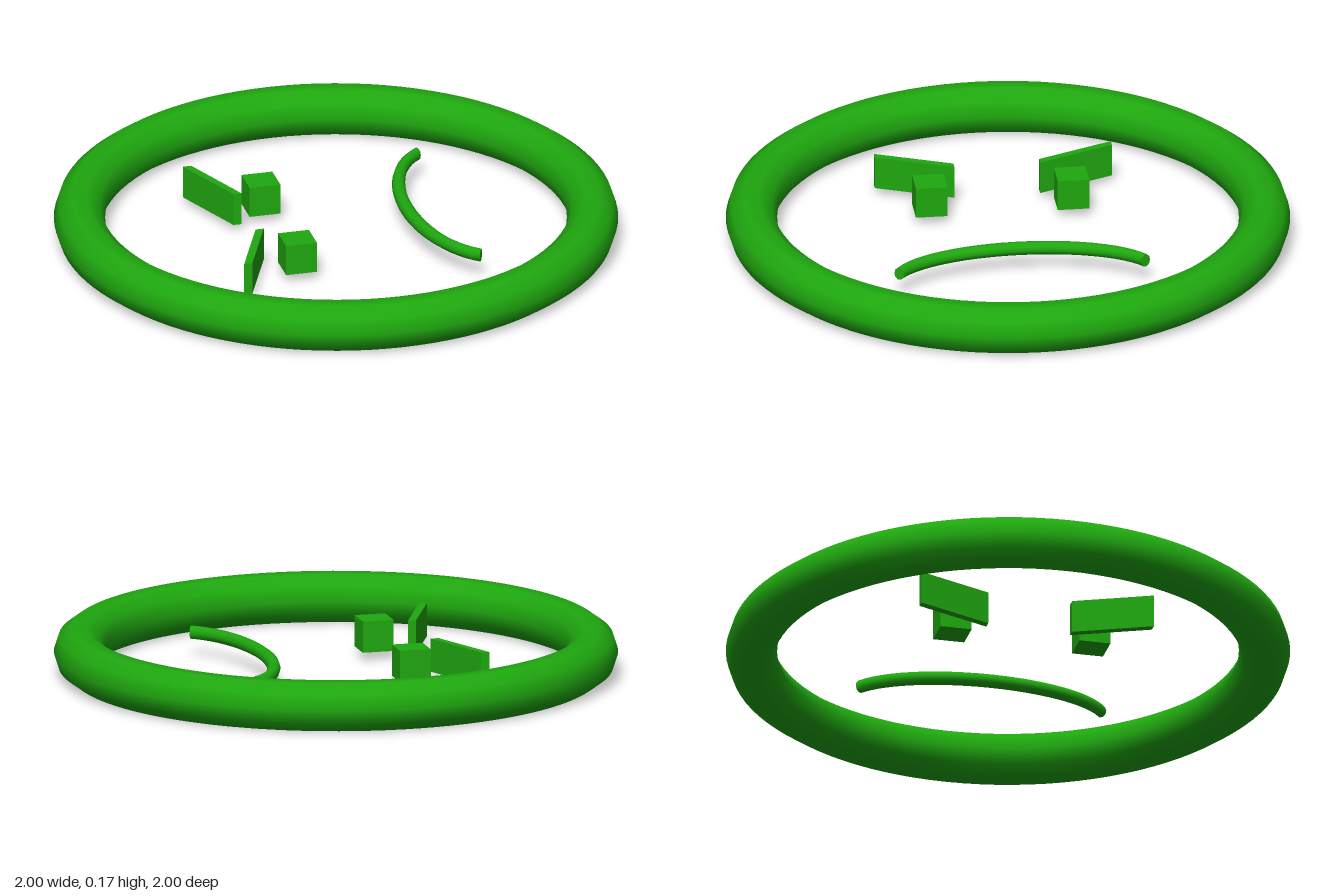
import * as THREE from 'three';
import { toCreasedNormals } from 'three/addons/utils/BufferGeometryUtils.js';

const MID = 0.086; // height of the common middle plane

// Curved mouth: elliptical arc with an oval tube, closed at both ends
function mouthGeometry() {
  const R = 1, r = 0.1, half = 70 * Math.PI / 180, segs = 26, sides = 10;
  const geo = new THREE.TorusGeometry(R, r, sides, segs, 2 * half);
  const p = geo.attributes.position;
  for (let i = 0; i < p.count; i++) {
    const j = i % (segs + 1);
    // the outermost rings collapse onto their neighbours to form the caps
    const k = THREE.MathUtils.clamp((j - 1) / (segs - 2), 0, 1);
    const cap = j === 0 || j === segs ? 0 : 1;
    const d = cap * (Math.hypot(p.getX(i), p.getY(i)) - R) / r;
    const h = cap * p.getZ(i) / r;
    const t = half * (2 * k - 1);
    p.setXYZ(i,
      0.495 - (0.235 + 0.025 * d) * Math.cos(t),
      0.024 * h,
      (0.468 + 0.018 * d) * Math.sin(t));
  }
  // the mapping mirrors once and swaps two axes, so winding stays outward
  return toCreasedNormals(geo, 0.9);
}

// Slanted brow: a thin box sheared in plan
function browGeometry(side) {
  const geo = new THREE.BoxGeometry(0.03, 0.12, 0.27);
  geo.applyMatrix4(new THREE.Matrix4().set(
    1, 0, -side * 0.42, 0,
    0, 1, 0, 0,
    0, 0, 1, 0,
    0, 0, 0, 1));
  geo.computeVertexNormals();
  return geo;
}

export function createModel() {
  const group = new THREE.Group();
  const green = new THREE.MeshStandardMaterial({ color: 0x1fa80f });
  const greenBoth = new THREE.MeshStandardMaterial({ color: 0x1fa80f, side: THREE.DoubleSide });
  const add = (name, geo, x, z, material = green) => {
    const mesh = new THREE.Mesh(geo, material);
    mesh.name = name;
    mesh.position.set(x, MID, z);
    group.add(mesh);
    return mesh;
  };

  // Face outline
  add('faceRing', new THREE.TorusGeometry(0.909, 0.091, 10, 100).rotateX(-Math.PI / 2), 0, 0);

  // Eyes and brows, mirrored across z
  for (const side of [-1, 1]) {
    const label = side > 0 ? 'Front' : 'Back';
    add('eye' + label, new THREE.BoxGeometry(0.113, 0.113, 0.113), -0.208, side * 0.253);
    add('brow' + label, browGeometry(side), -0.377, side * 0.288);
  }

  // Mouth
  add('mouth', mouthGeometry(), 0, 0, greenBoth);
  return group;
}
